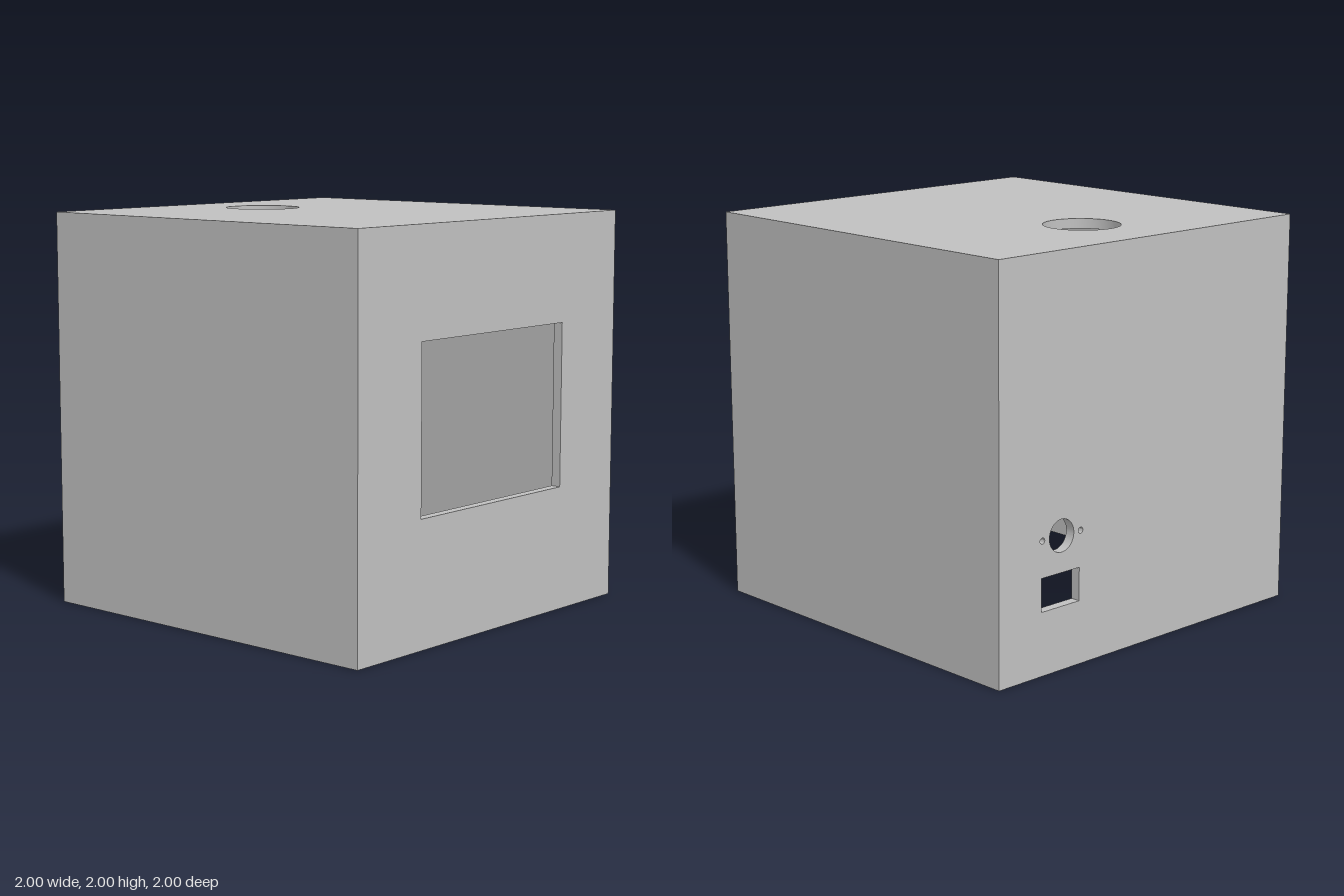
import * as THREE from 'three';
import { toCreasedNormals, mergeGeometries } from 'three/addons/utils/BufferGeometryUtils.js';

const T = 0.05;        // wall thickness
const FOOT = 0.2;      // width of a corner mount
const BORE = 0.063;    // radius of its screw hole

const circle = (x, y, r) => new THREE.Path().absarc(x, y, r, 0, Math.PI * 2, true);

function rectangle(x0, y0, x1, y1, Type = THREE.Path) {
  return new Type([[x0, y0], [x1, y0], [x1, y1], [x0, y1]].map(p => new THREE.Vector2(...p)));
}

// Square wall panel with holes; its inner face is drawn in to mitre the edges
function panel(holes, mitreBottom = false) {
  const shape = rectangle(-1, -1, 1, 1, THREE.Shape);
  shape.holes.push(...holes);
  const geo = new THREE.ExtrudeGeometry(shape, { depth: T, bevelEnabled: false, curveSegments: 48 });
  const p = geo.attributes.position;
  for (let i = 0; i < p.count; i++) {
    if (p.getZ(i) > T / 2) continue;
    const x = p.getX(i), y = p.getY(i);
    if (Math.abs(x) > 0.999) p.setX(i, Math.sign(x) * (1 - T));
    if (y > 0.999) p.setY(i, 1 - T);
    if (y < -0.999 && mitreBottom) p.setY(i, -1 + T);
  }
  geo.translate(0, 0, 1 - T);
  return toCreasedNormals(geo, 0.5);
}

// Half of a corner mount, split on the diagonal through the screw hole
function mountHalf(swap) {
  const c = FOOT / 2, pts = [[0, 0], [FOOT, 0], [FOOT, FOOT]];
  for (let i = 0; i <= 20; i++) {
    const a = Math.PI / 4 - Math.PI * i / 20;
    pts.push([c + BORE * Math.cos(a), c + BORE * Math.sin(a)]);
  }
  const shape = new THREE.Shape(pts.map(([x, y]) => swap ? new THREE.Vector2(y, x) : new THREE.Vector2(x, y)));
  const geo = new THREE.ExtrudeGeometry(shape, { depth: 1, bevelEnabled: false });
  // Slope the top upwards into the corner
  const p = geo.attributes.position;
  for (let i = 0; i < p.count; i++) {
    if (p.getZ(i) > 0.5) p.setZ(i, 0.23 - 0.13 * Math.max(p.getX(i), p.getY(i)) / FOOT);
  }
  geo.rotateX(-Math.PI / 2);
  return toCreasedNormals(geo, 0.5);
}

export function createModel() {
  const model = new THREE.Group();
  model.name = 'enclosure';
  const grey = new THREE.MeshStandardMaterial({ color: 0xc0c0c0 });
  grey.name = 'grey plastic';

  function add(name, geo, turn = 0) {
    const mesh = new THREE.Mesh(geo, grey);
    mesh.name = name;
    mesh.rotation.y = turn;
    mesh.position.y = 1;
    model.add(mesh);
    return mesh;
  }

  // Walls
  add('frontWall', panel([rectangle(-0.55, -0.37, 0.55, 0.46)]));
  add('backWall', panel([
    circle(-0.6, -0.34, 0.08),                  // socket hole
    circle(-0.725, -0.34, 0.015),               // screw holes
    circle(-0.475, -0.34, 0.015),
    rectangle(-0.73, -0.685, -0.482, -0.52)     // switch opening
  ]), Math.PI);
  add('leftWall', panel([]), Math.PI / 2);
  add('rightWall', panel([]), -Math.PI / 2);

  // Lid with a round opening towards the back
  add('topWall', panel([circle(0, 0.525, 0.19)], true)).rotation.x = -Math.PI / 2;

  // Screw mounts in the four bottom corners
  const mount = mergeGeometries([mountHalf(false), mountHalf(true)]);
  mount.translate(-1 + T, T - 1, 1 - T);
  for (let k = 0; k < 4; k++) add('cornerMount' + (k + 1), mount, k * Math.PI / 2);

  return model;
}
